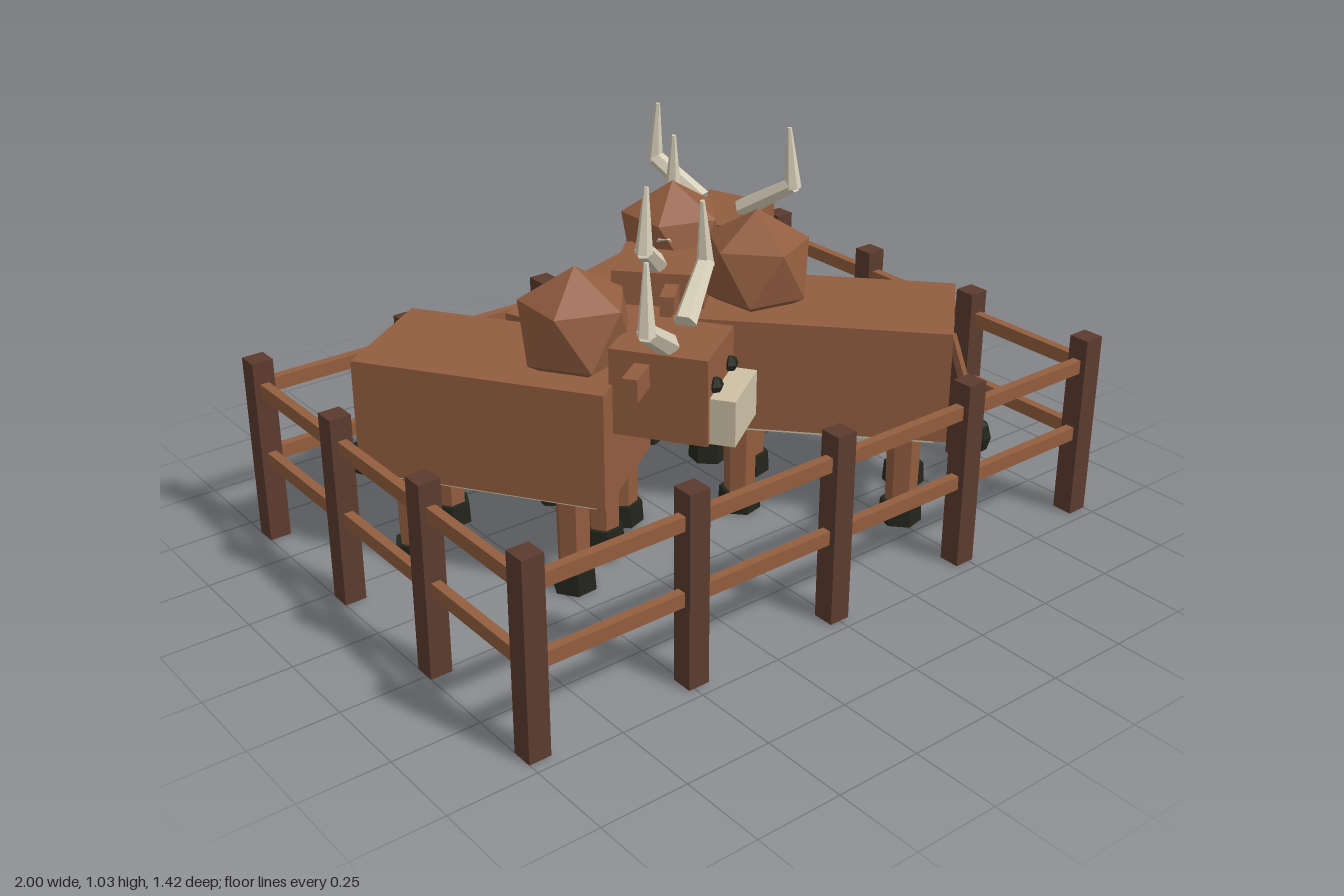
import * as THREE from 'three';

const mat = (name, color) => {
  const m = new THREE.MeshStandardMaterial({ color, flatShading: true });
  m.name = name;
  return m;
};
const hide = mat('brown hide', 0x925d3f);
const railWood = mat('rail wood', 0x935e3f);
const postWood = mat('post wood', 0x5c3b2e);
const cream = mat('cream', 0xcdc1a6);
const horn = mat('horn', 0xd8cfb9);
const dark = mat('hoof black', 0x22251b);

function add(parent, name, geometry, material, x = 0, y = 0, z = 0) {
  const m = new THREE.Mesh(geometry, material);
  m.name = name;
  m.position.set(x, y, z);
  parent.add(m);
  return m;
}
const box = (w, h, d) => new THREE.BoxGeometry(w, h, d);

// Tapered low-poly rod between two points
function rod(parent, name, material, a, b, r0, r1, sides) {
  const p = new THREE.Vector3(...a), q = new THREE.Vector3(...b);
  const d = q.clone().sub(p);
  const m = add(parent, name, new THREE.CylinderGeometry(r1, r0, d.length(), sides), material);
  m.position.copy(p).add(q).multiplyScalar(0.5);
  m.quaternion.setFromUnitVectors(new THREE.Vector3(0, 1, 0), d.normalize());
}

// One bull facing local +z
function makeBull(name) {
  const g = new THREE.Group();
  g.name = name;
  add(g, 'body', box(0.384, 0.335, 0.72), hide, 0, 0.465, 0);
  add(g, 'belly', box(0.335, 0.04, 0.65), cream, 0, 0.3, 0);

  // Shoulder hump, one vertex straight up
  const hump = new THREE.IcosahedronGeometry(0.172, 0);
  hump.rotateZ(Math.atan(2 / (1 + Math.sqrt(5))));
  add(g, 'hump', hump, hide, 0, 0.731, 0.215);

  // Head
  add(g, 'head', box(0.24, 0.245, 0.27), hide, 0, 0.6125, 0.485);
  add(g, 'muzzle', box(0.208, 0.13, 0.09), cream, 0, 0.557, 0.645);
  for (const s of [-1, 1]) {
    add(g, 'eye', new THREE.SphereGeometry(0.023, 6, 4), dark, s * 0.07, 0.648, 0.625);
    add(g, 'ear', box(0.11, 0.065, 0.042), hide, s * 0.165, 0.672, 0.442);
    rod(g, 'hornBase', horn, [s * 0.075, 0.745, 0.497], [s * 0.255, 0.855, 0.5], 0.033, 0.026, 6);
    rod(g, 'hornTip', horn, [s * 0.253, 0.845, 0.5], [s * 0.238, 1.034, 0.495], 0.026, 0.007, 6);

    // Legs and hooves
    for (const e of [-1, 1]) {
      add(g, 'leg', new THREE.CylinderGeometry(0.05, 0.046, 0.26, 6), hide, s * 0.12, 0.185, e * 0.24);
      add(g, 'hoof', new THREE.CylinderGeometry(0.06, 0.064, 0.065, 6), dark, s * 0.12, 0.0325, e * 0.24);
    }
  }

  // Tail with tuft
  rod(g, 'tail', hide, [0, 0.55, -0.355], [0, 0.25, -0.45], 0.016, 0.016, 5);
  const tuft = add(g, 'tailTuft', new THREE.SphereGeometry(0.038, 7, 4), dark, 0, 0.23, -0.455);
  tuft.scale.y = 1.5;
  return g;
}

function makeFence() {
  const g = new THREE.Group();
  g.name = 'fence';
  const X = 0.969, Z = 0.667, cz = 0.017;
  const post = (x, z) => add(g, 'post', box(0.063, 0.56, 0.063), postWood, x, 0.28, z);
  for (const s of [-1, 1]) {
    for (let i = 0; i < 5; i++) post(-X + i * X / 2, cz + s * Z);
    for (let i = 1; i < 3; i++) post(s * X, cz - Z + i * Z * 2 / 3);
    for (const y of [0.259, 0.474]) {
      add(g, 'longRail', box(2 * X, 0.041, 0.027), railWood, 0, y, cz + s * Z);
      add(g, 'sideRail', box(0.027, 0.041, 2 * Z), railWood, s * X, y, cz);
    }
  }
  return g;
}

export function createModel() {
  const model = new THREE.Group();
  model.name = 'bullPen';
  model.add(makeFence());
  // x, z, heading of each bull
  const herd = [
    ['rightBull', -0.487, -0.138, 0.595],
    ['backBull', 0.063, -0.278, 1.893],
    ['frontBull', 0.448, 0.16, -2.398],
  ];
  for (const [name, x, z, yaw] of herd) {
    const bull = makeBull(name);
    bull.position.set(x, 0, z);
    bull.rotation.y = yaw;
    model.add(bull);
  }
  return model;
}
